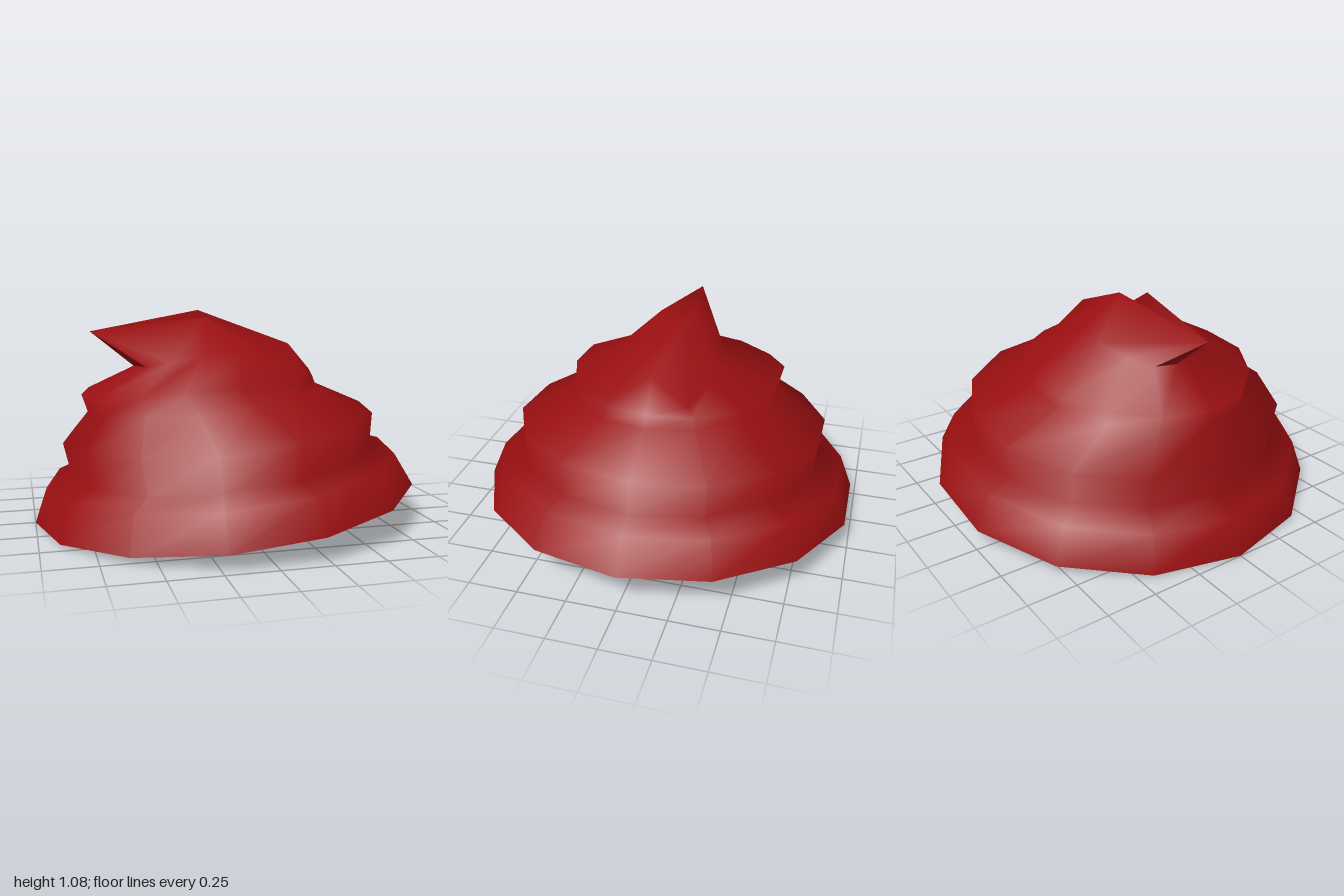
import * as THREE from 'three';
import { mergeVertices } from 'three/addons/utils/BufferGeometryUtils.js';

const SIDES = 14;

// Tilted elliptical ring running from (x0, y0) on the right to (x1, y1) on the left
function ring(x0, y0, x1, y1, rz) {
  return Array.from({ length: SIDES }, (_, k) => {
    const a = (k / SIDES) * Math.PI * 2, t = (1 + Math.cos(a)) / 2;
    return [x0 + (x1 - x0) * t, y0 + (y1 - y0) * t, rz * Math.sin(a)];
  });
}

// Skin between successive rings, plus extra triangles
function loft(rings, extra = []) {
  const pos = [];
  for (let r = 0; r < rings.length - 1; r++) {
    const a = rings[r], b = rings[r + 1];
    for (let k = 0; k < SIDES; k++) {
      const n = (k + 1) % SIDES;
      pos.push(...a[k], ...b[k], ...a[n], ...a[n], ...b[k], ...b[n]);
    }
  }
  extra.forEach((tri) => tri.forEach((p) => pos.push(...p)));
  const raw = new THREE.BufferGeometry();
  raw.setAttribute('position', new THREE.Float32BufferAttribute(pos, 3));
  const geo = mergeVertices(raw);
  geo.computeVertexNormals();
  return geo;
}

export function createModel() {
  const group = new THREE.Group();
  const material = new THREE.MeshStandardMaterial({ color: 0x990f11, side: THREE.DoubleSide });
  const add = (name, geo) => {
    const mesh = new THREE.Mesh(geo, material);
    mesh.name = name;
    group.add(mesh);
  };

  // Stacked tiers, each bulging out over the one below
  const rim = ring(-1, 0, 1, 0.2, 1);
  const upper = ring(-0.75, 0.66, 0.44, 0.75, 0.56);
  // The upper tier's right side is drawn out into the swirl
  upper[0] = [0.48, 0.76, 0];
  for (const s of [1, -1]) {
    const at = (k) => (s > 0 ? k : SIDES - k);
    upper[at(1)] = [0.42, 0.745, 0.22 * s];
    upper[at(2)] = [0.28, 0.735, 0.43 * s];
    upper[at(3)] = [-0.06, 0.73, 0.55 * s];
    upper[at(4)] = [-0.32, 0.71, 0.55 * s];
  }

  // Foot of the curled peak: front half, mirrored to the back
  const half = [
    [0.36, 0.9, 0], [0.37, 0.78, 0.2], [0.2, 0.82, 0.28], [0.02, 0.86, 0.29],
    [-0.16, 0.87, 0.27], [-0.32, 0.83, 0.19], [-0.43, 0.8, 0.1], [-0.48, 0.8, 0],
  ];
  const back = half.slice(1, 7).reverse().map(([x, y, z]) => [x, y - 0.01, -z * 0.9]);
  const foot = [...half, ...back];

  // Hooked tip with a groove between two crests
  const tip = [-0.7, 0.98, 0], notch = [-0.1, 0.97, 0];
  const crestF = [-0.12, 1.05, 0.085], crestB = [-0.12, 1.08, -0.085];
  const top = foot.map((_, k) => {
    if (k === 0) return notch;
    if (k < 5) return crestF;
    return k < 10 ? tip : crestB;
  });

  add('swirlBody', loft([
    rim,
    ring(-0.94, 0.18, 0.9, 0.36, 0.93),
    ring(-0.81, 0.24, 0.77, 0.39, 0.8),
    ring(-0.85, 0.41, 0.78, 0.57, 0.82),
    ring(-0.72, 0.57, 0.5, 0.69, 0.54),
    upper, foot, top,
  ], [[notch, tip, crestF], [notch, crestB, tip]]));

  // Hollow underside: inner lip rising to the opening
  add('underside', loft([
    ring(-0.69, 0.17, 0.69, 0.31, 0.69),
    ring(-0.95, 0.05, 0.95, 0.24, 0.95),
    rim,
  ]));
  return group;
}
